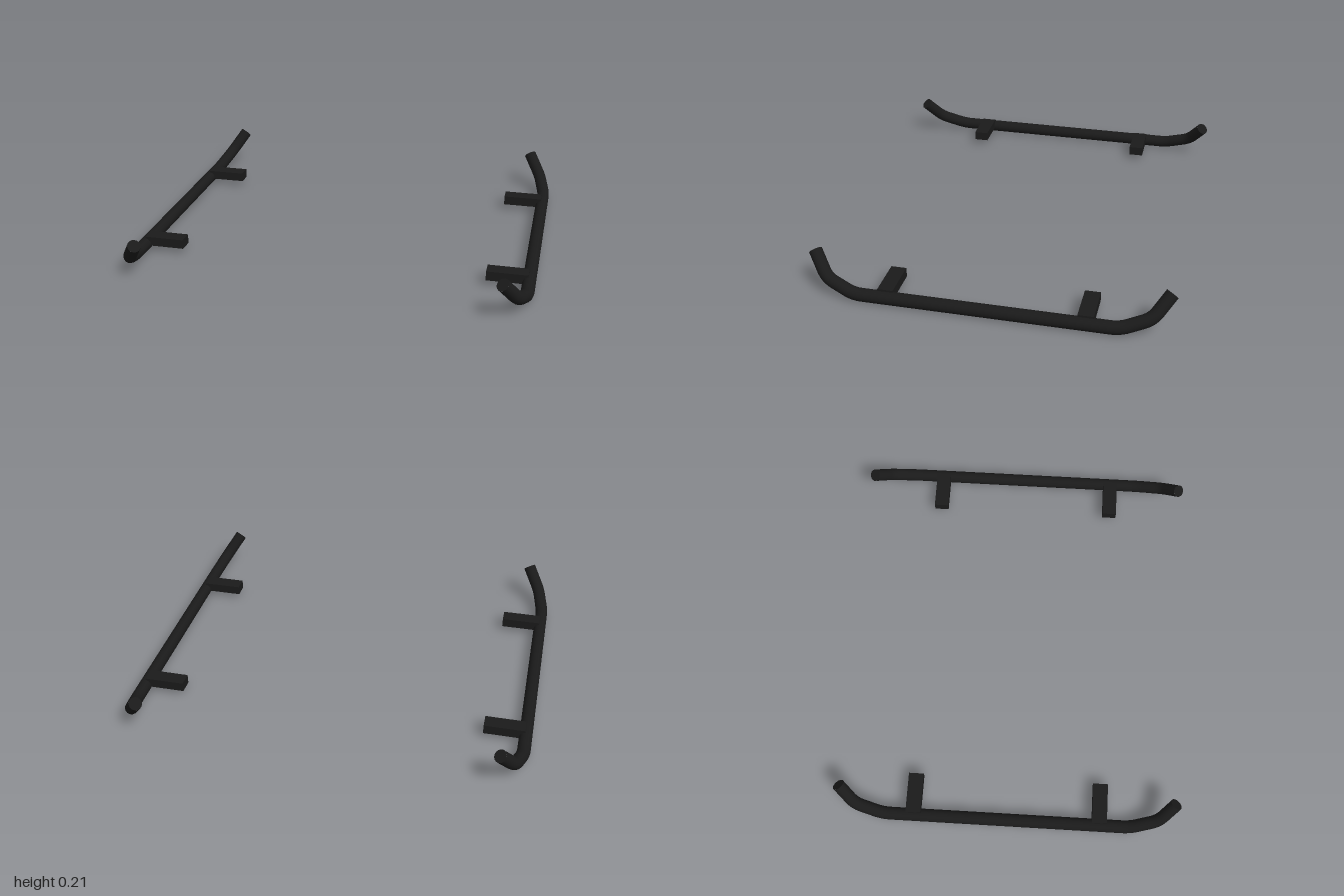
import * as THREE from 'three';

const RADIUS = 0.032;
const BRACKET_Z = 0.47;
const material = new THREE.MeshStandardMaterial({ color: 0x1a1a1a });

// Straight runs joined by small rounded bends
function bentPath(points, bend) {
  const path = new THREE.CurvePath();
  let from = points[0];
  for (let i = 1; i < points.length - 1; i++) {
    const p = points[i];
    const before = p.clone().add(points[i - 1].clone().sub(p).setLength(bend));
    const after = p.clone().add(points[i + 1].clone().sub(p).setLength(bend));
    path.add(new THREE.LineCurve3(from, before));
    path.add(new THREE.QuadraticBezierCurve3(before, p, after));
    from = after;
  }
  path.add(new THREE.LineCurve3(from, points[points.length - 1]));
  return path;
}

// One side rail with upswept, inward-curling ends and two mounting brackets
function createSide(side, name) {
  const group = new THREE.Group();
  group.name = name;

  const end = [[0.869, 0.184, 0.84], [0.936, 0.082, 0.764], [0.968, 0.032, 0.625]];
  const points = [
    ...end.map(([x, y, z]) => new THREE.Vector3(side * x, y, z)),
    ...end.map(([x, y, z]) => new THREE.Vector3(side * x, y, -z)).reverse(),
  ];
  const path = bentPath(points, 0.04);
  const rail = new THREE.Mesh(new THREE.TubeGeometry(path, 160, RADIUS, 16), material);
  rail.name = 'rail';
  group.add(rail);

  // Flat discs closing the rail ends
  for (const [t, dir] of [[0, -1], [1, 1]]) {
    const cap = new THREE.Mesh(new THREE.CircleGeometry(RADIUS, 16), material);
    cap.name = 'railEndCap';
    cap.position.copy(path.getPointAt(t));
    const outward = path.getTangentAt(t).multiplyScalar(dir);
    cap.quaternion.setFromUnitVectors(new THREE.Vector3(0, 0, 1), outward);
    group.add(cap);
  }

  // Brackets reaching inward from the rail
  for (const z of [BRACKET_Z, -BRACKET_Z]) {
    const bracket = new THREE.Mesh(new THREE.BoxGeometry(0.2, 0.047, 0.075), material);
    bracket.name = 'mountingBracket';
    bracket.position.set(side * 0.864, 0.049, z);
    group.add(bracket);
  }
  return group;
}

export function createModel() {
  const model = new THREE.Group();
  model.name = 'sideRails';
  model.add(createSide(1, 'leftSideRail'), createSide(-1, 'rightSideRail'));
  return model;
}
